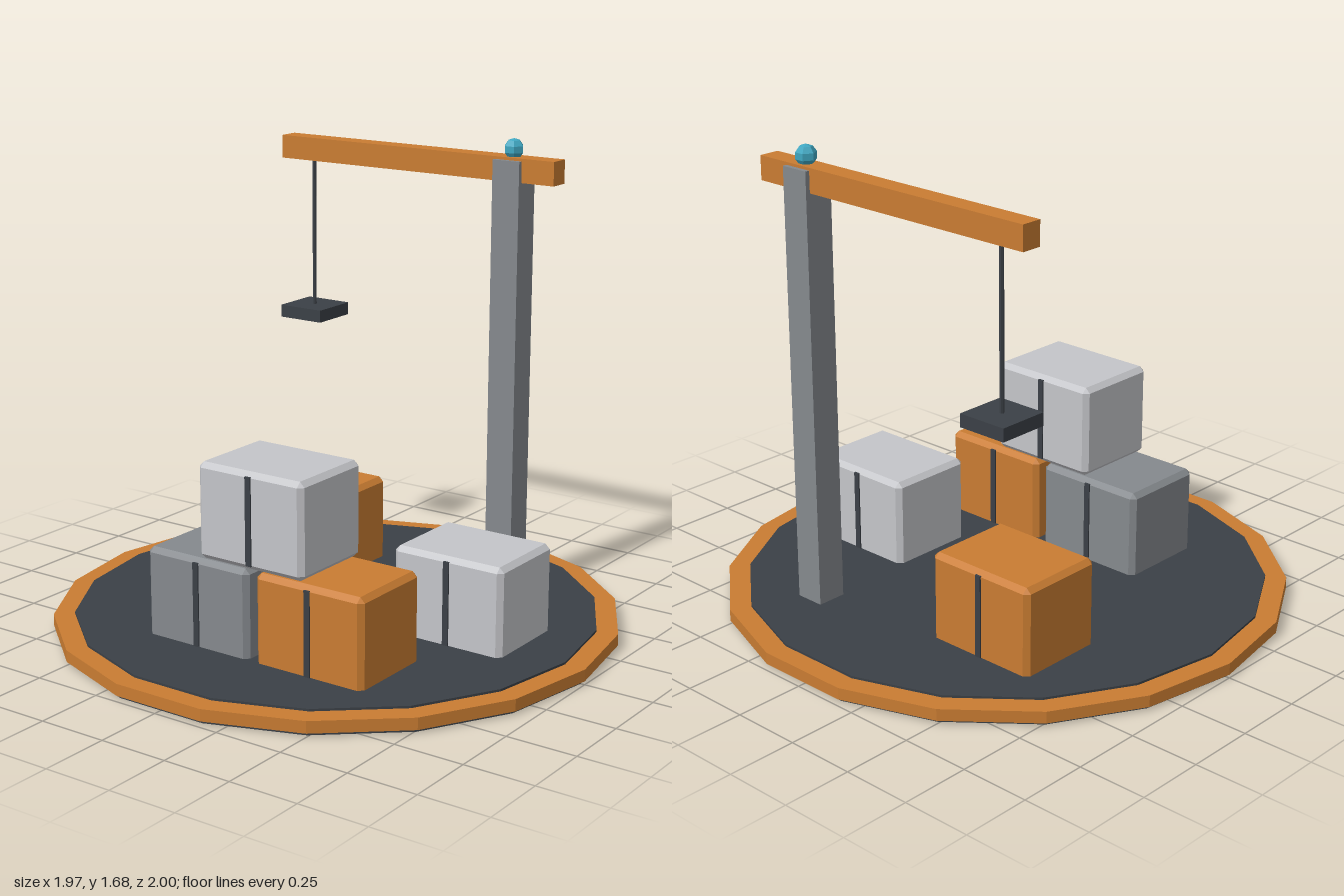
import * as THREE from 'three';
import { ConvexGeometry } from 'three/addons/geometries/ConvexGeometry.js';

const material = (name, color) => {
  const m = new THREE.MeshStandardMaterial({ color, flatShading: true });
  m.name = name;
  return m;
};

export function createModel() {
  const orange = material('orange', 0xc97c32);
  const lightGrey = material('light grey', 0xc4c5c9);
  const midGrey = material('mid grey', 0x85898d);
  const dark = material('dark slate', 0x3b4046);
  const blue = material('blue', 0x3fa6c0);
  const model = new THREE.Group();

  const add = (name, geometry, mat, x, y, z, parent = model) => {
    const mesh = new THREE.Mesh(geometry, mat);
    mesh.name = name;
    mesh.position.set(x, y, z);
    parent.add(mesh);
    return mesh;
  };
  const box = (w, h, d) => new THREE.BoxGeometry(w, h, d);
  // 18-sided slab
  const disc = (r, h) => new THREE.CylinderGeometry(r, r, h, 18);

  // Box with every edge chamfered
  const chamferBox = (w, h, d, c) => {
    const points = [];
    for (const sx of [-0.5, 0.5]) for (const sy of [-0.5, 0.5]) for (const sz of [-0.5, 0.5]) {
      for (let axis = 0; axis < 3; axis++) {
        const p = [w, h, d].map((s, i) => s - (i === axis ? 0 : 2 * c));
        points.push(new THREE.Vector3(p[0] * sx, p[1] * sy, p[2] * sz));
      }
    }
    return new ConvexGeometry(points);
  };

  // Round platform: dark underside, orange rim, dark deck
  add('platformUnderside', disc(0.985, 0.014), dark, 0, 0.007, 0);
  add('platformRim', disc(1, 0.042), orange, 0, 0.033, 0);
  add('platformDeck', disc(0.925, 0.01), dark, 0, 0.057, 0);

  // Crane
  const crane = new THREE.Group();
  crane.name = 'crane';
  model.add(crane);
  add('mast', box(0.108, 1.56, 0.108), midGrey, 0.585, 0.83, 0.34, crane);
  add('boom', box(0.075, 0.085, 1.165), orange, 0.585, 1.577, -0.06, crane);
  const beacon = add('beacon', new THREE.SphereGeometry(0.038, 6, 5), blue, 0.585, 1.645, 0.34, crane);
  beacon.rotation.y = Math.PI / 2;
  add('cable', new THREE.CylinderGeometry(0.008, 0.008, 0.57, 6), dark, 0.585, 1.26, -0.522, crane);
  add('counterPlate', box(0.182, 0.046, 0.182), dark, 0.585, 0.96, -0.522, crane);

  // Crates with a dark strap on each side
  const crateGeometry = chamferBox(0.335, 0.335, 0.428, 0.018);
  const strapGeometry = box(0.009, 0.305, 0.022);
  const crates = [
    ['frontCrate', lightGrey, 0.063, 0.207, 0.522],
    ['lowerFrontCrate', orange, -0.43, 0.207, 0.307],
    ['lowerRearCrate', midGrey, -0.43, 0.207, -0.153],
    ['stackedCrate', lightGrey, -0.43, 0.546, 0.072],
    ['hoistCrate', orange, 0.37, 0.207, -0.373],
  ];
  for (const [name, mat, x, y, z] of crates) {
    const crate = new THREE.Group();
    crate.name = name;
    crate.position.set(x, y, z);
    model.add(crate);
    add('crateBody', crateGeometry, mat, 0, 0, 0, crate);
    for (const side of [-1, 1]) add('crateStrap', strapGeometry, dark, side * 0.168, 0, 0, crate);
  }
  return model;
}
